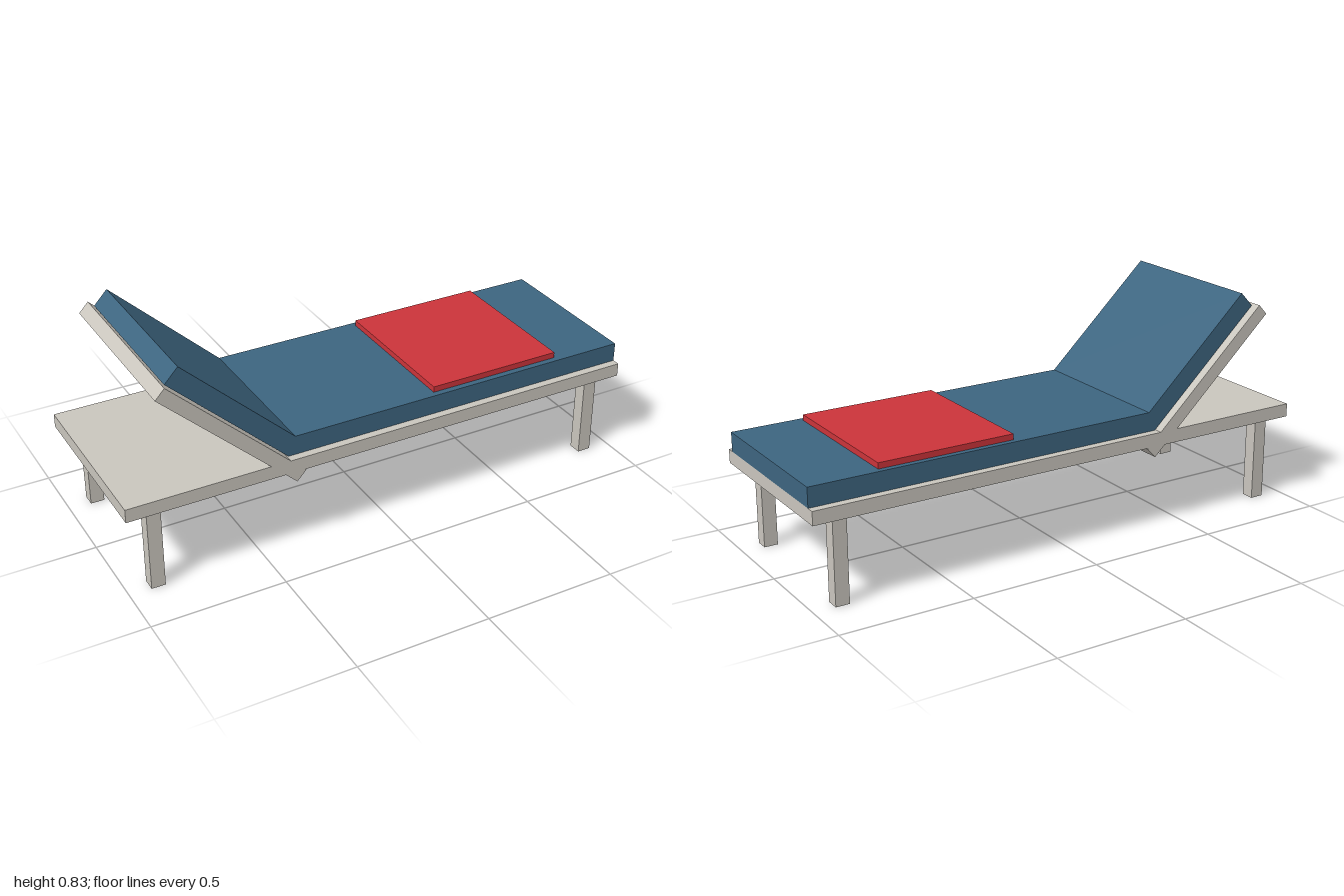
import * as THREE from 'three';

export function createModel() {
  const model = new THREE.Group();
  model.name = 'sunLounger';

  const material = (name, color) => {
    const m = new THREE.MeshStandardMaterial({ color });
    m.name = name;
    return m;
  };
  const frameMat = material('paleFrame', 0xcac6be);
  const cushionMat = material('blueCushion', 0x3d6580);
  const towelMat = material('redTowel', 0xcc343a);

  // Adds a mesh, placed at its centre
  const add = (name, geometry, mat, x = 0, y = 0, z = 0) => {
    const mesh = new THREE.Mesh(geometry, mat);
    mesh.name = name;
    mesh.position.set(x, y, z);
    model.add(mesh);
    return mesh;
  };
  const box = (w, h, d) => new THREE.BoxGeometry(w, h, d);

  // Deck and four square legs
  const deckBottom = 0.318, deckTop = 0.369;
  add('deck', box(2, deckTop - deckBottom, 0.68), frameMat, 0, (deckTop + deckBottom) / 2, 0);
  for (const sx of [-1, 1]) {
    for (const sz of [-1, 1]) {
      const leg = (sx > 0 ? 'foot' : 'head') + (sz > 0 ? 'Front' : 'Back') + 'Leg';
      add(leg, box(0.052, deckBottom, 0.05), frameMat, sx * 0.893, deckBottom / 2, sz * 0.289);
    }
  }

  // Tilted backrest board, passing through the deck
  const tilt = -0.752;
  const board = add('backrestBoard', box(0.685, 0.051, 0.68), frameMat, -0.602, 0.53, 0);
  board.rotation.z = tilt;

  // Folded mattress: flat seat and raised back in one profile
  const profile = new THREE.Shape([
    [-0.387, deckTop], [1, deckTop], [1, 0.442],
    [-0.359, 0.442], [-0.773, 0.83], [-0.823, 0.777],
  ].map(([x, y]) => new THREE.Vector2(x, y)));
  const mattress = new THREE.ExtrudeGeometry(profile, { depth: 0.62, bevelEnabled: false });
  add('mattress', mattress, cushionMat, 0, 0, -0.31);

  // Folded towel on the seat
  add('towel', box(0.525, 0.022, 0.576), towelMat, 0.472, 0.453, -0.001);

  return model;
}
